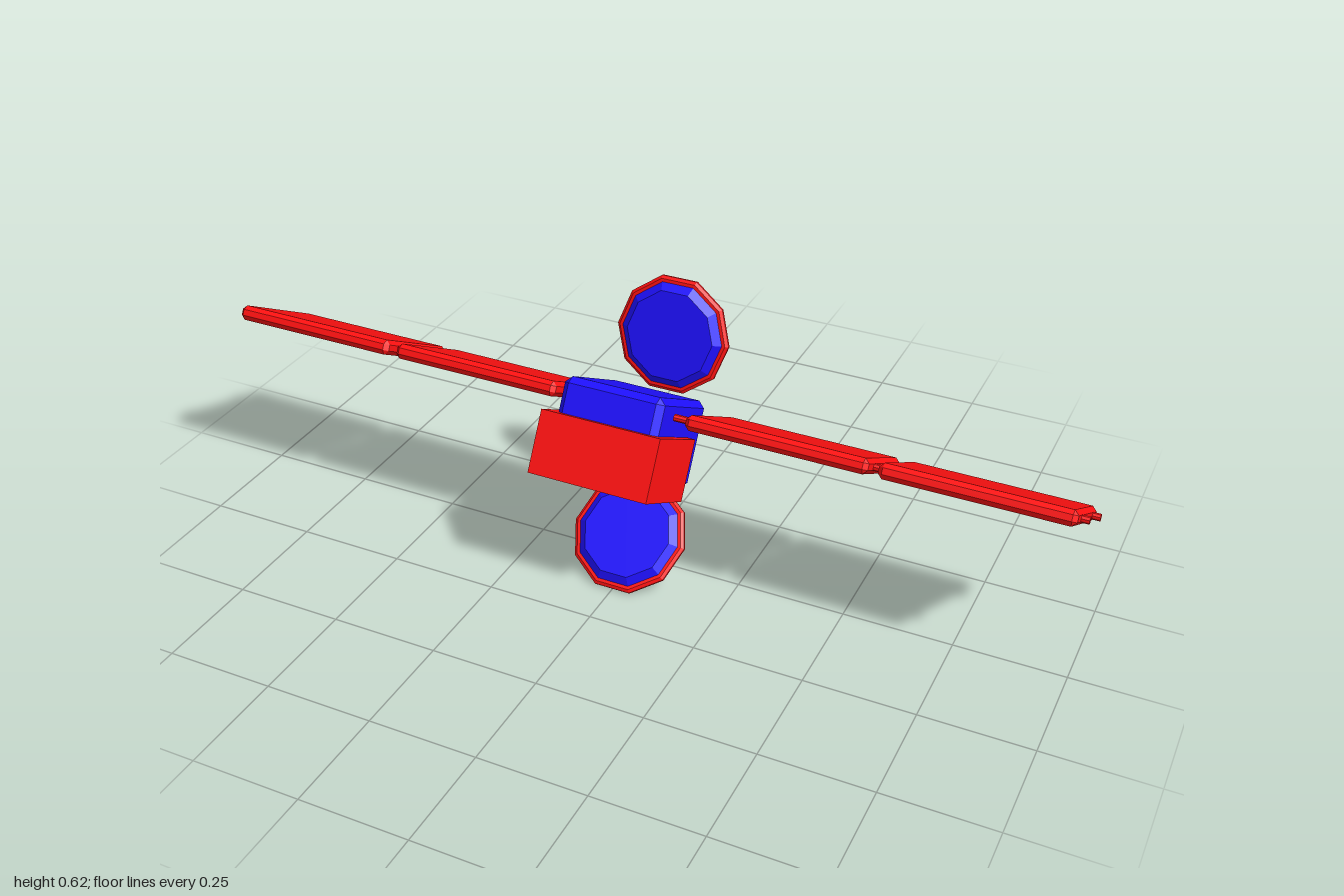
import * as THREE from 'three';
import { ConvexGeometry } from 'three/addons/geometries/ConvexGeometry.js';

const red = new THREE.MeshStandardMaterial({ color: 0xff1111, flatShading: true });
const blue = new THREE.MeshStandardMaterial({ color: 0x1f10ff, flatShading: true });

function part(name, geometry, material, x = 0, y = 0, z = 0) {
  const mesh = new THREE.Mesh(geometry, material);
  mesh.name = name;
  mesh.position.set(x, y, z);
  return mesh;
}

// Box with every edge chamfered by b
function chamferBox(w, h, d, b) {
  const points = [];
  for (const x of [-1, 1]) for (const y of [-1, 1]) for (const z of [-1, 1]) {
    for (let face = 0; face < 3; face++) {
      const inset = [b, b, b];
      inset[face] = 0;
      points.push(new THREE.Vector3(
        x * (w / 2 - inset[0]), y * (h / 2 - inset[1]), z * (d / 2 - inset[2])));
    }
  }
  return new ConvexGeometry(points);
}

// Ten-sided dish facing +z: red bevelled backing, raised blue face
function createDish(name, y, z, tilt) {
  const dish = new THREE.Group();
  dish.name = name;
  const profile = [[0, -0.008], [0.129, -0.008], [0.136, -0.003], [0.136, 0.003], [0.129, 0.008], [0, 0.008]]
    .map(([r, h]) => new THREE.Vector2(r, h));
  const backing = new THREE.LatheGeometry(profile, 10);
  const face = new THREE.CylinderGeometry(0.104, 0.124, 0.016, 10);
  for (const g of [backing, face]) g.rotateY(Math.PI / 10).rotateX(Math.PI / 2);
  dish.add(part('dishBacking', backing, red), part('dishFace', face, blue, 0, 0, 0.014));
  dish.position.set(0, y, z);
  dish.rotation.x = -tilt;
  return dish;
}

export function createModel() {
  const model = new THREE.Group();
  model.name = 'satellite';

  // Body and wings share one tilted frame
  const hull = new THREE.Group();
  hull.name = 'hull';
  hull.rotation.x = -Math.PI / 6;
  model.add(hull);

  hull.add(part('body', chamferBox(0.238, 0.201, 0.271, 0.015), blue, -0.018, 0.2915, 0.1915));
  hull.add(part('frontBlock', new THREE.BoxGeometry(0.282, 0.141, 0.212), red, -0.02, 0.2395, 0.2445));

  // Solar wings: two panels on two rods per side
  const panelGeometry = chamferBox(0.404, 0.034, 0.28, 0.01);
  const rodGeometry = new THREE.CylinderGeometry(0.008, 0.008, 0.89, 8).rotateZ(Math.PI / 2);
  for (const side of [-1, 1]) {
    const wing = new THREE.Group();
    wing.name = side > 0 ? 'leftWing' : 'rightWing';
    for (const x of [0.356, 0.781]) wing.add(part('solarPanel', panelGeometry, red, side * x, 0.355, 0.183));
    for (const z of [0.102, 0.266]) wing.add(part('wingRod', rodGeometry, red, side * 0.555, 0.355, z));
    hull.add(wing);
  }

  // Dishes above and below
  model.add(createDish('upperDish', 0.502, -0.178, Math.PI / 12));
  model.add(createDish('lowerDish', 0.099, 0.048, Math.PI / 4));
  return model;
}
